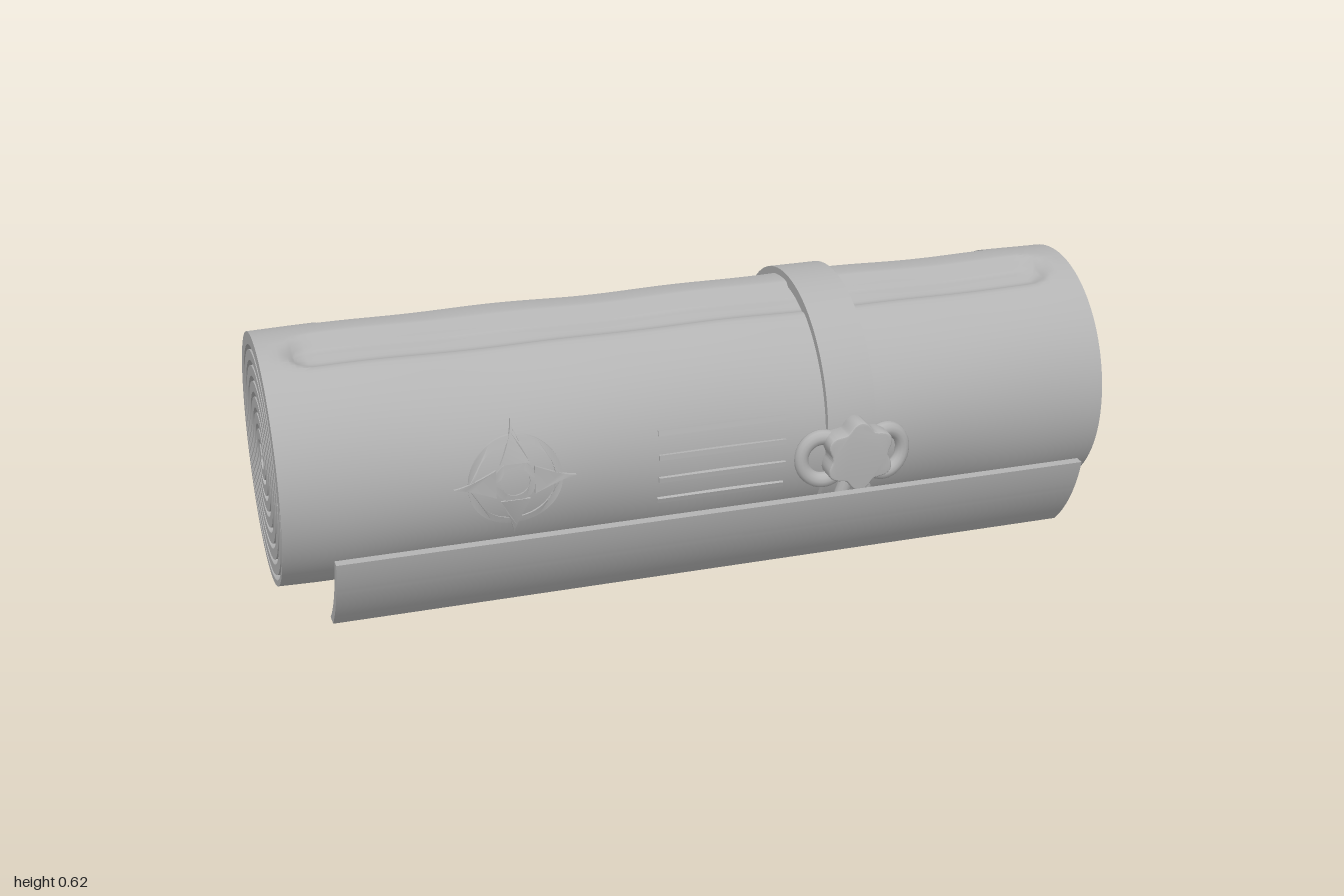
import * as THREE from 'three';
import { toCreasedNormals } from 'three/addons/utils/BufferGeometryUtils.js';

const CY = 0.3, CZ = -0.045, R = 0.298;
const paper = new THREE.MeshStandardMaterial({ color: 0xb3b3b3 });
paper.name = 'paperGrey';

const frac = (v) => v - Math.floor(v);
const steps = (a, b, n) => Array.from({ length: n + 1 }, (_, i) => a + ((b - a) * i) / n);
const surfaceZ = (y) => CZ + Math.sqrt(R * R - (y - CY) ** 2);

function add(group, name, geometry) {
  const mesh = new THREE.Mesh(geometry, paper);
  mesh.name = name;
  group.add(mesh);
  return mesh;
}

// radius of a round section that leaves on a 45 degree tangent and is cut by the ground
function footedRadius(r, theta, back, front) {
  const c = Math.cos(theta), q = 0.75 * Math.PI;
  const past = Math.abs(theta) - q;
  if (past > 0 && ((theta < 0 && back) || (theta > 0 && front))) r /= Math.cos(past);
  return c < 0 ? Math.min(r, CY / -c) : r;
}

// rolled sheet with a top hollow, a rear slot and recessed ends
function rollGeometry() {
  const slot = { x: 0.84, z0: -0.215, z1: -0.12, floor: 0.49 };
  const t0 = Math.asin((slot.z0 - CZ) / R), t1 = Math.asin((slot.z1 - CZ) / R), e = 0.002;
  const thetas = [...steps(-Math.PI, Math.PI, 150), t0 - e, t0 + e, t1 - e, t1 + e].sort((a, b) => a - b);
  const xs = steps(-1, 1, 90);
  for (const s of [-1, 1]) for (const x of [0.84, 0.92]) xs.push(s * (x - e), s * (x + e));
  xs.sort((a, b) => a - b);

  const skin = (x, t) => {
    let r = R + 0.0016 * (Math.sin(7 * x + 3 * t) + Math.sin(15 * x - 2 * t + 1));
    // round-ended hollow along the top
    const d = Math.hypot(Math.max(Math.abs(x) - 0.88, 0), (t - 0.26) * R) - 0.07;
    r -= 0.028 * THREE.MathUtils.smoothstep(-d, 0, 0.045);
    // loose sheet leaving the roll at the back
    const sheet = Math.abs(x) < 0.92;
    if (sheet && t < -1.9) r += 0.01;
    r = footedRadius(r, t, sheet, false);
    const z = CZ + r * Math.sin(t);
    const inSlot = Math.abs(x) < slot.x && t > t0 && t < t1;
    return [x, inSlot ? slot.floor : Math.max(0, CY + r * Math.cos(t)), z];
  };
  const round = (x, r) => (t) => [x, CY + r(t) * Math.cos(t), CZ + r(t) * Math.sin(t)];
  const rim = (s) => (t) => 0.254 + 0.037 * frac((Math.PI / 2 + s * t) / (2 * Math.PI));
  const rows = [
    round(-0.975, () => 0.0005), round(-0.975, rim(-1)), round(-1, rim(-1)),
    ...xs.map((x) => (t) => skin(x, t)),
    round(1, rim(1)), round(0.975, rim(1)), round(0.975, () => 0.0005),
  ];
  const pos = [], idx = [], n = thetas.length;
  rows.forEach((row, i) => thetas.forEach((t, j) => {
    pos.push(...row(t));
    if (i < rows.length - 1 && j < n - 1) {
      const a = i * n + j, b = a + n;
      idx.push(a, a + 1, b, a + 1, b + 1, b);
    }
  }));
  const g = new THREE.BufferGeometry();
  g.setAttribute('position', new THREE.Float32BufferAttribute(pos, 3));
  g.setIndex(idx);
  return toCreasedNormals(g, 0.6);
}

// wound layers seen on each end
function spiralGeometry() {
  const inner = [], outer = [];
  for (const t of steps(0.3, 7, 330)) {
    const a = t * Math.PI * 2, r = 0.008 + 0.037 * t;
    outer.push(new THREE.Vector2((r + 0.0125) * Math.cos(a), (r + 0.0125) * Math.sin(a)));
    inner.push(new THREE.Vector2((r - 0.0125) * Math.cos(a), (r - 0.0125) * Math.sin(a)));
  }
  const shape = new THREE.Shape([...outer, ...inner.reverse()]);
  return toCreasedNormals(new THREE.ExtrudeGeometry(shape, { depth: 0.025, bevelEnabled: false }), 0.5);
}

// section drawn in (-z, y) and extruded along x
function alongX(shape, x0, x1) {
  const g = new THREE.ExtrudeGeometry(shape, { depth: x1 - x0, bevelEnabled: false });
  g.rotateY(Math.PI / 2).translate(x0, 0, 0);
  return toCreasedNormals(g, 0.5);
}

function strapGeometry() {
  const ring = (r, foot) => steps(-Math.PI, Math.PI, 120).slice(0, -1).map((t) => {
    const q = foot ? footedRadius(r, t, true, true) : r;
    return new THREE.Vector2(-(CZ + q * Math.sin(t)), CY + q * Math.cos(t));
  });
  const shape = new THREE.Shape(ring(0.315, true));
  shape.holes.push(new THREE.Path(ring(0.288, false)));
  return alongX(shape, 0.28, 0.4);
}

// lifted front edge, concentric with the roll and cut level at the ground
function flapGeometry() {
  const arc = (r) => {
    const top = Math.asin((0.205 - CY) / r), bottom = Math.asin(-CY / r);
    return steps(top, bottom, 24).map((a) => new THREE.Vector2(-(CZ + r * Math.cos(a)), CY + r * Math.sin(a)));
  };
  return alongX(new THREE.Shape([...arc(0.416), ...arc(0.393).reverse()]), -0.9, 0.9);
}

// flat relief wrapped onto the front of the roll
function wrapped(shape, x, y, lift) {
  const g = new THREE.ExtrudeGeometry(shape, { depth: 0.012, bevelEnabled: false, curveSegments: 48 });
  g.translate(x, y, lift - 0.012);
  const p = g.attributes.position;
  for (let i = 0; i < p.count; i++) p.setZ(i, p.getZ(i) + surfaceZ(p.getY(i)));
  return toCreasedNormals(g, 0.5);
}

function ringShape(r0, r1) {
  const s = new THREE.Shape().absarc(0, 0, r1, 0, Math.PI * 2);
  s.holes.push(new THREE.Path().absarc(0, 0, r0, 0, Math.PI * 2, true));
  return s;
}

function tube(points, r) {
  const curve = new THREE.CatmullRomCurve3(points.map((p) => new THREE.Vector3(...p)));
  return new THREE.TubeGeometry(curve, 20, r, 12);
}

export function createModel() {
  const model = new THREE.Group();
  model.name = 'scroll';
  add(model, 'roll', rollGeometry());
  const spiral = spiralGeometry();
  for (const s of [-1, 1]) {
    const end = add(model, s > 0 ? 'leftSpiral' : 'rightSpiral', spiral);
    end.position.set(s * 0.975, CY, CZ);
    end.rotation.y = (s * Math.PI) / 2;
  }
  add(model, 'strap', strapGeometry());
  add(model, 'frontFlap', flapGeometry());

  // compass emblem: ring with four curved points and a hub
  const emblem = new THREE.Group();
  emblem.name = 'emblem';
  model.add(emblem);
  add(emblem, 'emblemRing', wrapped(ringShape(0.094, 0.11), -0.47, 0.3, 0.006));
  add(emblem, 'emblemHub', wrapped(ringShape(0.034, 0.05), -0.47, 0.3, 0.005));
  for (let k = 0; k < 4; k++) {
    const a = (k * Math.PI) / 2;
    const at = (r, w) => new THREE.Vector2(r * Math.cos(a) - w * Math.sin(a), r * Math.sin(a) + w * Math.cos(a));
    const edge = steps(0, 1, 8).map((u) => [0.045 + 0.097 * u, 0.034 * (1 - u) ** 1.4 + 0.0005]);
    const pts = [...edge.map(([r, w]) => at(r, -w)), ...edge.reverse().map(([r, w]) => at(r, w))];
    add(emblem, 'emblemPoint', wrapped(new THREE.Shape(pts), -0.47, 0.3, 0.008));
  }

  // raised lines beside the seal
  for (let k = 0; k < 4; k++) {
    const y = 0.37 - 0.0575 * k;
    const bar = add(model, 'raisedLine', new THREE.BoxGeometry(0.31, 0.013, 0.014));
    bar.position.set(0.025, y, surfaceZ(y));
    bar.rotation.x = -Math.asin((y - CY) / R);
  }

  // lobed seal with bow loops and cord tails
  const lobes = steps(0, Math.PI * 2, 72).slice(0, -1).map((a) => {
    const r = 0.073 + 0.009 * Math.cos(6 * (a - Math.PI / 2));
    return new THREE.Vector2(r * Math.cos(a), r * Math.sin(a));
  });
  const seal = new THREE.ExtrudeGeometry(new THREE.Shape(lobes), {
    depth: 0.045, bevelSize: 0.005, bevelThickness: 0.005, bevelSegments: 3,
  });
  add(model, 'seal', toCreasedNormals(seal, 0.5)).position.set(0.34, 0.282, 0.28);
  for (const s of [-1, 1]) {
    const loop = add(model, 'bowLoop', new THREE.TorusGeometry(0.05, 0.017, 12, 36));
    loop.position.set(0.34 + s * 0.078, 0.268, 0.28);
    loop.scale.y = 1.1;
    loop.rotation.y = s * 0.15;
    const end = [0.34 + s * 0.055, 0.085, 0.277];
    add(model, 'cordTail', tube([[0.34, 0.27, 0.295], [0.34 + s * 0.025, 0.19, 0.287], end], 0.017));
    add(model, 'cordTip', new THREE.SphereGeometry(0.017, 12, 8)).position.set(...end);
  }
  return model;
}
